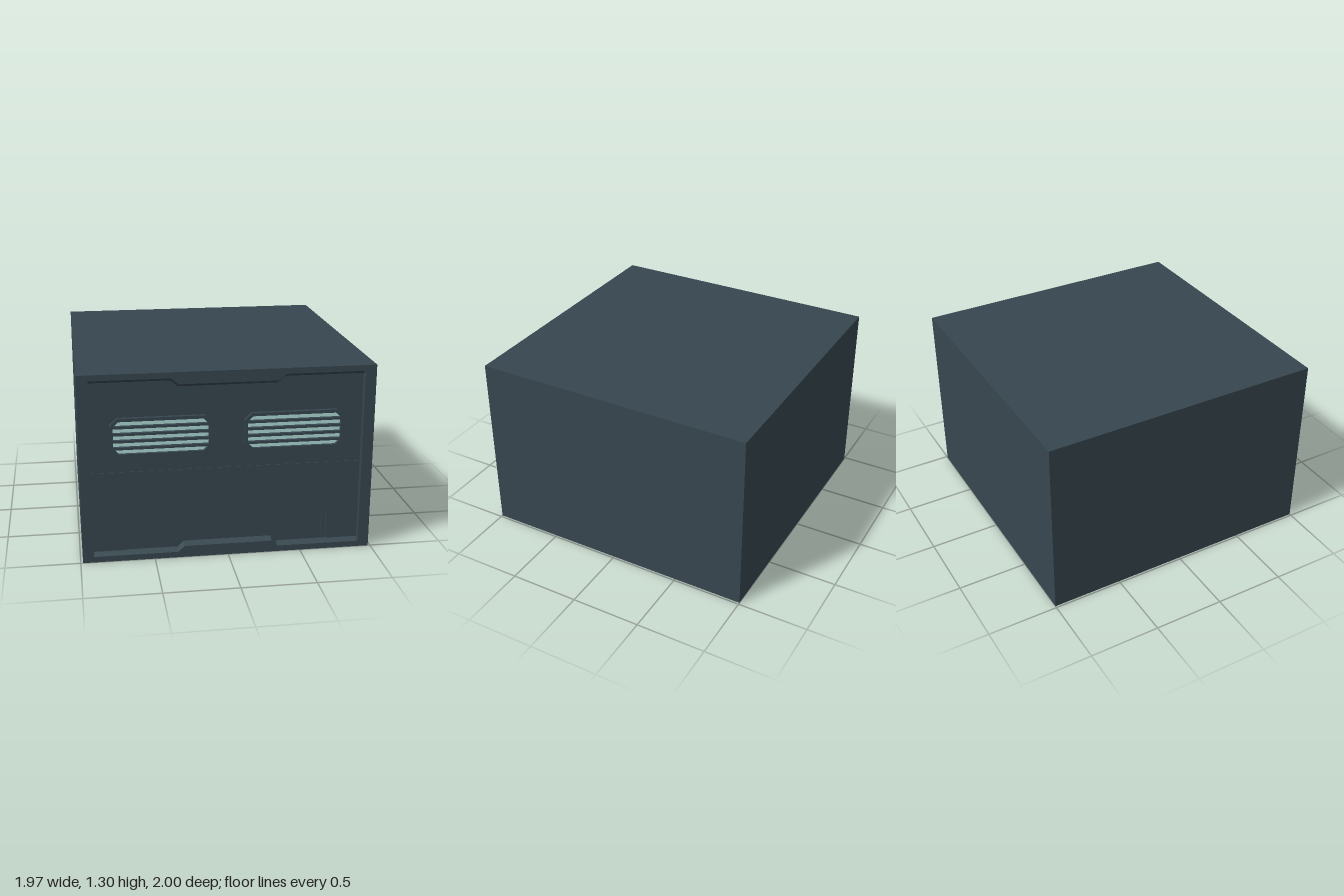
import * as THREE from 'three';

const W = 0.985, H = 1.3;          // half width and height of the housing
const CORE = 0.935, PANEL = 0.955; // front of the core, front of the recessed panel

export function createModel() {
  const group = new THREE.Group();
  const shell = new THREE.MeshStandardMaterial({ color: 0x37474f, side: THREE.DoubleSide });
  shell.name = 'dark slate';
  const light = new THREE.MeshStandardMaterial({ color: 0xb2dfdb });
  light.name = 'pale teal';

  const add = (name, geometry, material = shell, parent = group) => {
    const mesh = new THREE.Mesh(geometry, material);
    mesh.name = name;
    parent.add(mesh);
    return mesh;
  };
  const shapeOf = pts => new THREE.Shape(pts.map(p => new THREE.Vector2(p[0], p[1])));
  // Flat plate between two depths, with an optional hole
  const plate = (pts, z0, z1, hole) => {
    const shape = shapeOf(pts);
    if (hole) shape.holes.push(shapeOf(hole));
    return new THREE.ExtrudeGeometry(shape, { depth: z1 - z0, bevelEnabled: false }).translate(0, 0, z0);
  };
  // Sloping strip between two matching paths at different depths
  const slope = (a, za, b, zb) => {
    const pos = [];
    for (let i = 0; i < a.length - 1; i++) {
      const A = [...a[i], za], B = [...a[i + 1], za], C = [...b[i + 1], zb], D = [...b[i], zb];
      pos.push(...A, ...D, ...C, ...A, ...C, ...B);
    }
    const g = new THREE.BufferGeometry();
    g.setAttribute('position', new THREE.Float32BufferAttribute(pos, 3));
    g.computeVertexNormals();
    return g;
  };
  const rect = (x, y0, y1) => [[-x, y0], [x, y0], [x, y1], [-x, y1]];
  const octagon = (x, y, c) => [[-x + c, -y], [x - c, -y], [x, -y + c], [x, y - c],
    [x - c, y], [-x + c, y], [-x, y - c], [-x, -y + c]];
  // Stepped edges of the front opening, left to right
  const topEdge = y => [[-0.91, y], [-0.38, y], [-0.33, y - 0.042], [0.33, y - 0.042], [0.38, y], [0.91, y]];
  const bottomEdge = y => [[-0.91, y], [-0.34, y], [-0.3, y + 0.04], [0.3, y + 0.04], [0.34, y], [0.91, y]];

  // Housing
  const core = new THREE.BoxGeometry(2 * W, H, CORE + 1);
  add('housing', core.translate(0, H / 2, (CORE - 1) / 2));
  add('frontFrame', plate(rect(W, 0, H), CORE, 1, [...bottomEdge(0.04), ...topEdge(1.26).reverse()]));
  add('topBevel', slope(topEdge(1.26), 1, topEdge(1.235), PANEL));
  add('bottomBevel', slope(bottomEdge(0.06), PANEL, bottomEdge(0.04), 1));

  // Recessed front panel in two halves; the lower one is notched for the tray
  add('upperPanel', plate([[-0.91, 0.62], [0.91, 0.62], ...topEdge(1.24).reverse()], CORE, PANEL));
  const notched = (x, y, outer, top) => [[-outer, 0.05], [-x, 0.05], [-x, y], [x, y], [x, 0.05],
    [outer, 0.05], [outer, top], [-outer, top]];
  add('lowerPanel', plate(notched(0.69, 0.26, 0.91, 0.62), CORE, PANEL + 0.004));
  add('trayRim', plate(notched(0.66, 0.23, 0.69, 0.26), CORE, PANEL - 0.01));

  // Two louvred vents
  for (const side of [-1, 1]) {
    const vent = new THREE.Group();
    vent.name = side < 0 ? 'rightVent' : 'leftVent';
    vent.position.set(side * 0.445, 0.863, PANEL);
    group.add(vent);
    add('ventFrame', plate(octagon(0.338, 0.133, 0.05), 0, 0.025, octagon(0.315, 0.111, 0.035)), shell, vent);
    add('ventGlow', plate(octagon(0.315, 0.111, 0.035), 0, 0.004), light, vent);
    for (let i = 0; i < 4; i++) {
      const bar = add('ventBar', new THREE.BoxGeometry(0.63, 0.017, 0.028), shell, vent);
      bar.position.set(0, (i - 1.5) * 0.048, 0.014);
    }
  }
  return group;
}
